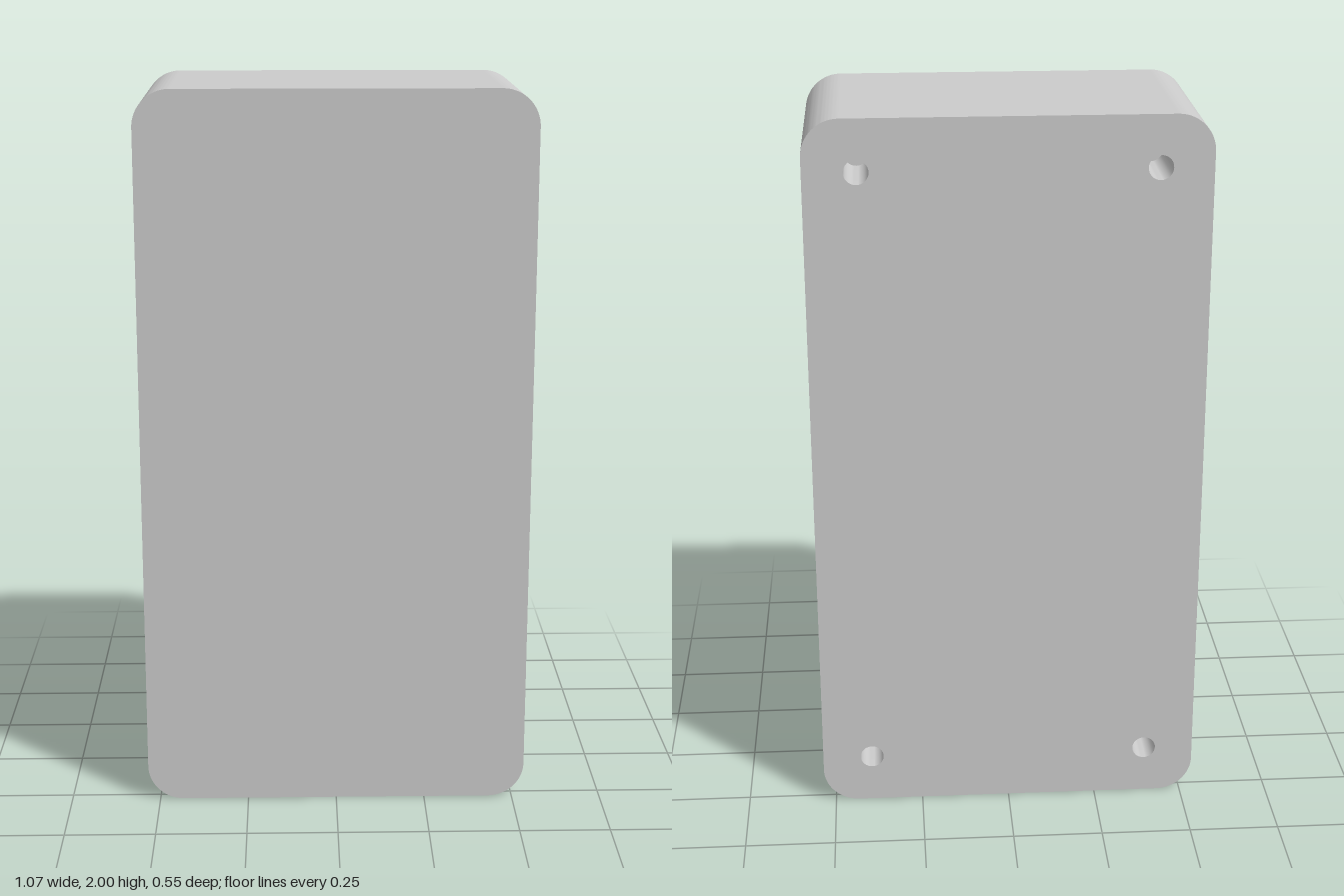
import * as THREE from 'three';
import { toCreasedNormals } from 'three/addons/utils/BufferGeometryUtils.js';

const W = 1.066, H = 2, D = 0.554, CORNER = 0.1;
const HOLE_X = 0.393, HOLE_Y = 0.86, HOLE_R = 0.033, HOLE_DEPTH = 0.2;
const SEGMENTS = 16;

// Rounded rectangle centred on the origin
function outline() {
  const x = W / 2 - CORNER, y = H / 2 - CORNER;
  const shape = new THREE.Shape();
  shape.absarc(x, y, CORNER, 0, Math.PI / 2);
  shape.absarc(-x, y, CORNER, Math.PI / 2, Math.PI);
  shape.absarc(-x, -y, CORNER, Math.PI, Math.PI * 1.5);
  shape.absarc(x, -y, CORNER, Math.PI * 1.5, Math.PI * 2);
  shape.closePath();
  return shape;
}

export function createModel() {
  const group = new THREE.Group();
  const material = new THREE.MeshStandardMaterial({ color: 0xcccccc });
  const add = (name, geometry, x, y, z) => {
    const mesh = new THREE.Mesh(geometry, material);
    mesh.name = name;
    mesh.position.set(x, y, z);
    group.add(mesh);
  };

  // Side walls: the extrusion without its end caps
  const extruded = new THREE.ExtrudeGeometry(outline(), { depth: D, bevelEnabled: false, curveSegments: SEGMENTS });
  const sides = extruded.groups[1];
  const walls = new THREE.BufferGeometry();
  walls.setAttribute('position', new THREE.BufferAttribute(
    extruded.attributes.position.array.slice(sides.start * 3, (sides.start + sides.count) * 3), 3));
  add('sideWalls', toCreasedNormals(walls, 0.5), 0, H / 2, -D / 2);

  // Plain front face
  add('frontFace', new THREE.ShapeGeometry(outline(), SEGMENTS), 0, H / 2, D / 2);

  // Back face, pierced near each corner
  const backShape = outline();
  const corners = [[1, 1], [-1, 1], [-1, -1], [1, -1]];
  for (const [sx, sy] of corners) {
    const hole = new THREE.Path();
    hole.absarc(sx * HOLE_X, sy * HOLE_Y, HOLE_R, 0, Math.PI * 2, true);
    backShape.holes.push(hole);
  }
  add('backFace', new THREE.ShapeGeometry(backShape, SEGMENTS).rotateY(Math.PI), 0, H / 2, -D / 2);

  // Blind screw holes, profile runs from the rim to the floor centre
  const profile = [[HOLE_R, 0], [HOLE_R, -HOLE_DEPTH], [0, -HOLE_DEPTH]].map(([r, y]) => new THREE.Vector2(r, y));
  const bore = toCreasedNormals(new THREE.LatheGeometry(profile, SEGMENTS * 2), 0.5).rotateX(-Math.PI / 2);
  for (const [sx, sy] of corners) add('screwHole', bore, sx * HOLE_X, H / 2 + sy * HOLE_Y, -D / 2);

  return group;
}
